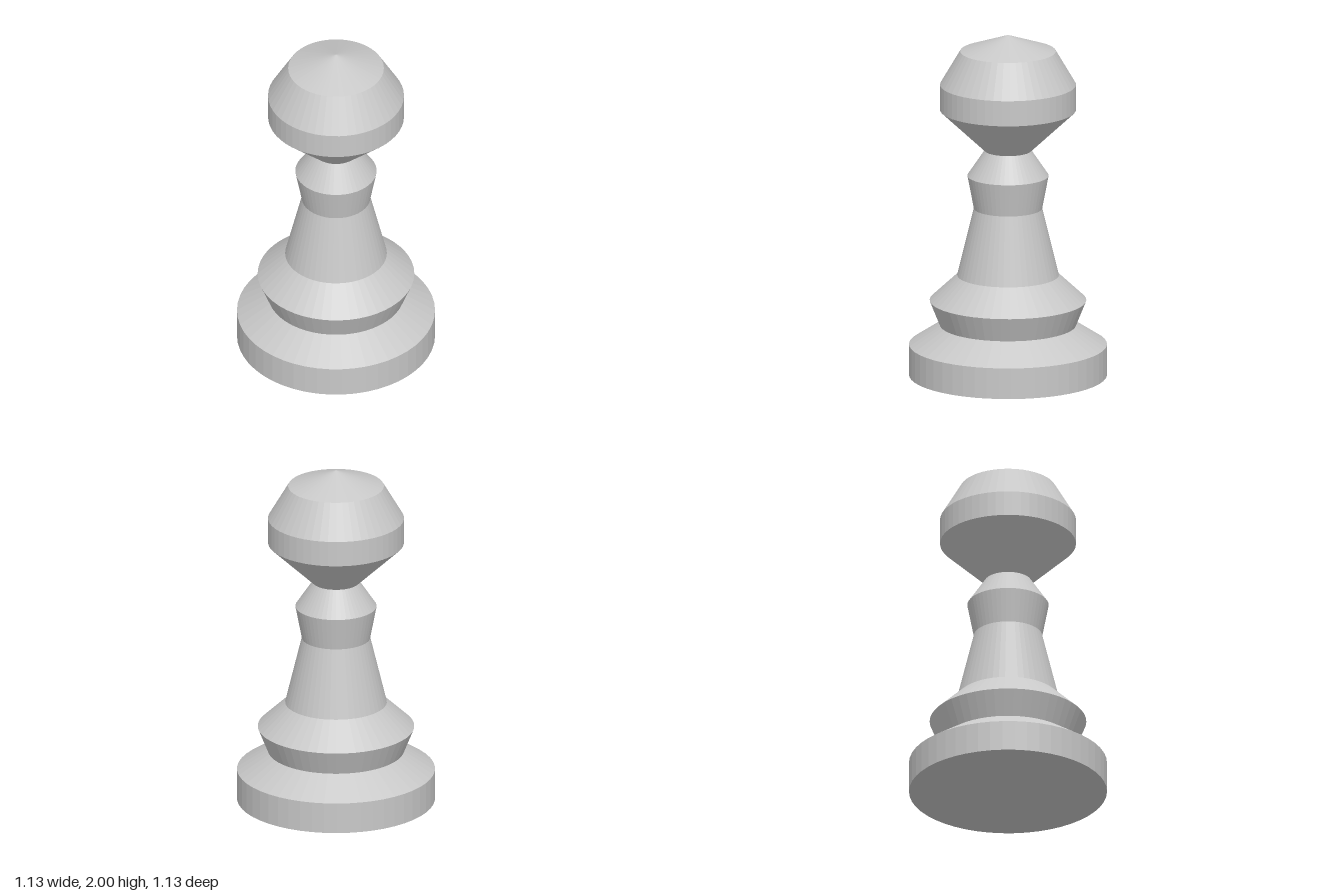
import * as THREE from 'three';

const SIDES = 50;

// Turned parts from bottom to top, each a list of [radius, height]
const PARTS = {
  base: [[0, 0], [0.565, 0], [0.565, 0.18], [0.389, 0.295]],
  lowerCollar: [[0.389, 0.295], [0.447, 0.44], [0.29, 0.587]],
  stem: [[0.29, 0.587], [0.195, 0.98]],
  upperCollar: [[0.195, 0.98], [0.232, 1.173], [0.133, 1.32]],
  head: [[0.133, 1.32], [0.388, 1.56], [0.388, 1.708], [0.273, 1.904], [0, 2]],
};

export function createModel() {
  const pawn = new THREE.Group();
  pawn.name = 'pawn';

  const grey = new THREE.MeshStandardMaterial({ color: 0xc8c8c8 });
  grey.name = 'light grey';
  grey.flatShading = true;

  for (const [name, profile] of Object.entries(PARTS)) {
    const points = profile.map(([r, y]) => new THREE.Vector2(r, y));
    const mesh = new THREE.Mesh(new THREE.LatheGeometry(points, SIDES), grey);
    mesh.name = name;
    pawn.add(mesh);
  }
  return pawn;
}
